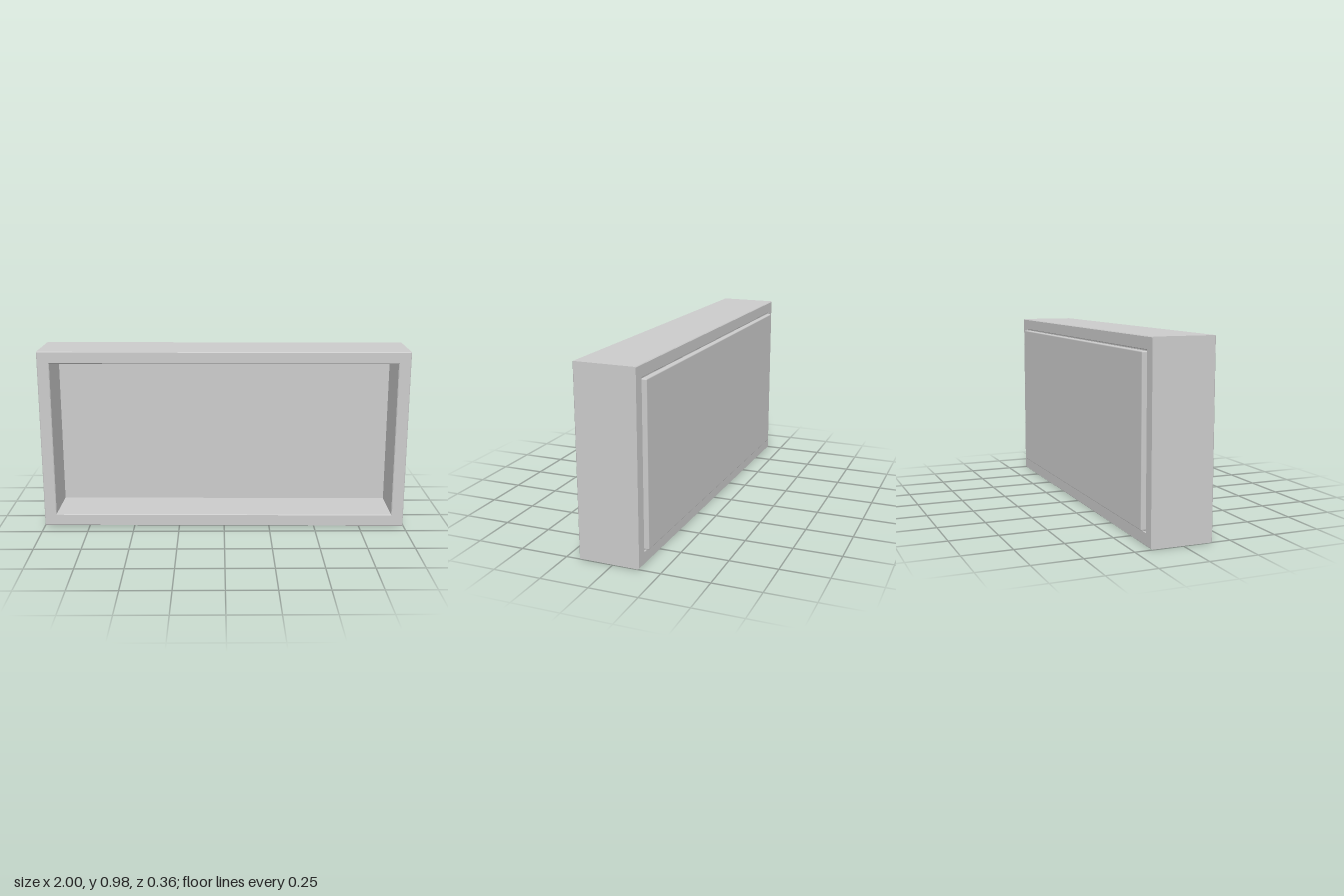
import * as THREE from 'three';
import { RoundedBoxGeometry } from 'three/addons/geometries/RoundedBoxGeometry.js';

const material = new THREE.MeshStandardMaterial({ color: 0xcccccc });

// Closed rectangle outline, usable as a shape or as a hole
function rectangle(Type, left, bottom, right, top) {
  const path = new Type();
  path.moveTo(left, bottom);
  path.lineTo(right, bottom);
  path.lineTo(right, top);
  path.lineTo(left, top);
  path.closePath();
  return path;
}

function addPart(group, name, geometry, x, y, z) {
  const mesh = new THREE.Mesh(geometry, material);
  mesh.name = name;
  mesh.position.set(x, y, z);
  group.add(mesh);
}

export function createModel() {
  const group = new THREE.Group();
  group.name = 'shallowTray';
  const body = new THREE.Group();
  body.name = 'trayBody';

  // Deep rectangular frame with a narrow, finely bevelled rim
  const bevel = 0.004;
  const outline = rectangle(THREE.Shape, -0.994, 0.007, 0.994, 0.981);
  outline.holes.push(rectangle(THREE.Path, -0.936, 0.066, 0.936, 0.924));
  const frame = new THREE.ExtrudeGeometry(outline, {
    depth: 0.319 - 2 * bevel,
    bevelEnabled: true,
    bevelThickness: bevel,
    bevelSize: bevel,
    bevelSegments: 1,
  });
  addPart(body, 'frame', frame, 0, 0, -0.151 + bevel);

  // Floor of the recess, filling the frame opening
  addPart(body, 'recessFloor', new THREE.BoxGeometry(1.872, 0.858, 0.035), 0, 0.495, -0.1275);

  // Raised panel standing proud of the back
  addPart(body, 'backPanel', new RoundedBoxGeometry(1.85, 0.84, 0.054, 2, 0.006), 0, 0.495, -0.144);

  // Slight turn of the whole body about the vertical
  body.rotation.y = -0.0135;
  group.add(body);
  return group;
}
